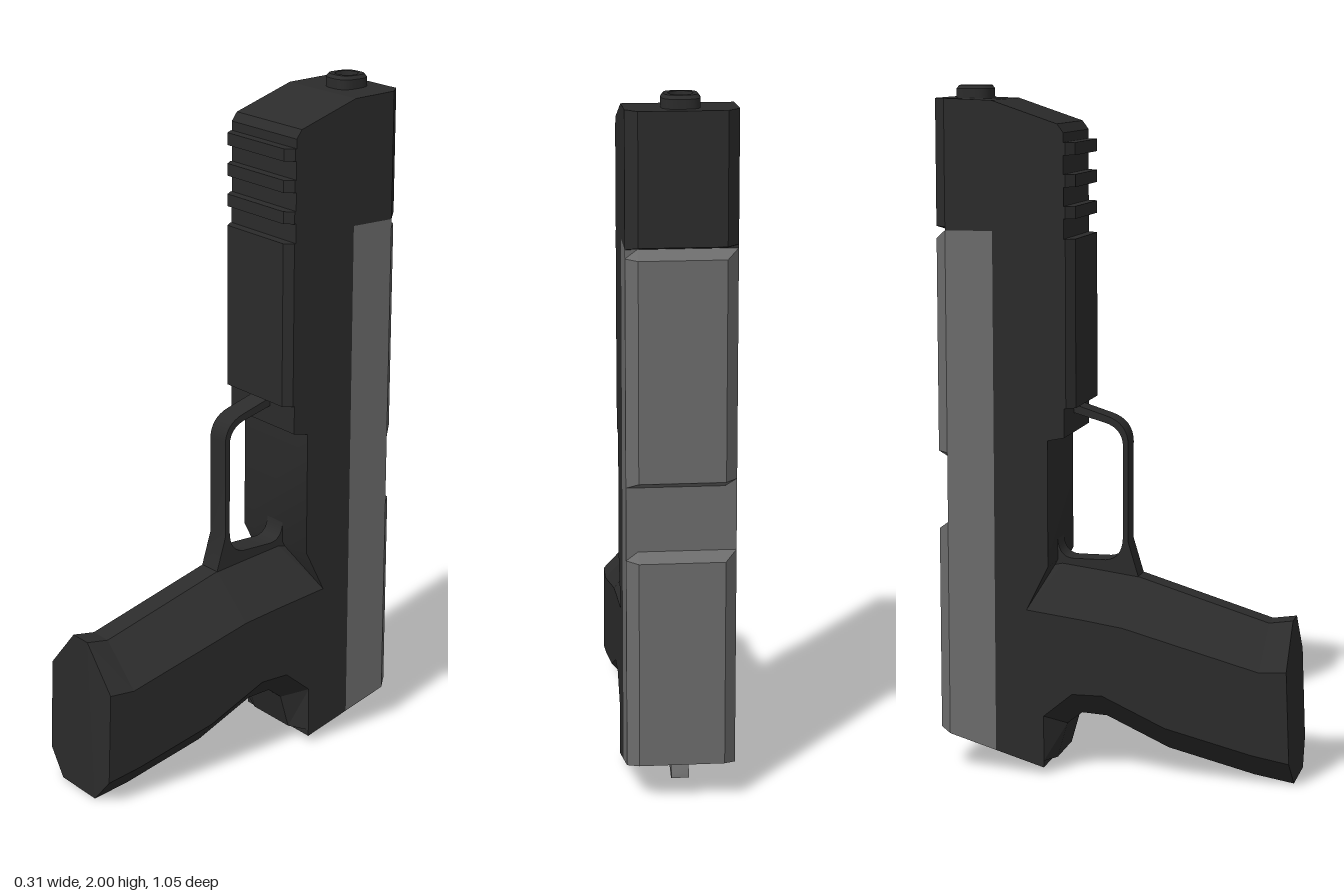
import * as THREE from 'three';
import { toCreasedNormals } from 'three/addons/utils/BufferGeometryUtils.js';

const W = 0.153; // half width of the body
const dark = new THREE.MeshStandardMaterial({ color: 0x2b2b2b });
const grey = new THREE.MeshStandardMaterial({ color: 0x6c6c6c });

// Joins rings of [x, y, z] points into a closed, faceted solid
function loft(rings) {
  const n = rings[0].length, tris = [];
  const tri = (a, b, c) => tris.push([a, b, c]);
  for (let i = 0; i < rings.length - 1; i++) {
    for (let j = 0; j < n; j++) {
      const k = (j + 1) % n, a = rings[i], b = rings[i + 1];
      tri(a[j], a[k], b[k]);
      tri(a[j], b[k], b[j]);
    }
  }
  const first = rings[0], last = rings[rings.length - 1];
  for (let j = 1; j < n - 1; j++) {
    tri(first[0], first[j + 1], first[j]);
    tri(last[0], last[j], last[j + 1]);
  }
  // A negative volume means the faces point inward
  const v = (p) => new THREE.Vector3(...p);
  const volume = tris.reduce((s, [a, b, c]) => s + v(a).dot(v(b).cross(v(c))), 0);
  const pos = tris.flatMap(([a, b, c]) => (volume < 0 ? [a, c, b] : [a, b, c])).flat();
  const geo = new THREE.BufferGeometry();
  geo.setAttribute('position', new THREE.Float32BufferAttribute(pos, 3));
  geo.computeVertexNormals();
  return geo;
}

// Extrudes a side profile drawn in (z, y) across x
function slab(shape, half) {
  const geo = new THREE.ExtrudeGeometry(shape, { depth: half * 2, bevelEnabled: false, curveSegments: 8 });
  geo.translate(0, 0, -half);
  geo.rotateY(-Math.PI / 2);
  return toCreasedNormals(geo, 0.6);
}

const profile = (pts) => new THREE.Shape(pts.map(([z, y]) => new THREE.Vector2(z, y)));

// Horizontal ring of the slide; the corners are chamfered toward the back
function slideRing(height, back) {
  const plan = [[W, -0.35], [W, -0.49], [0.12, back], [-0.12, back], [-W, -0.49], [-W, -0.35]];
  return plan.map(([x, z]) => [x, typeof height === 'function' ? height(z) : height, z]);
}

// Block with chamfered front edges, used for the rail and its teeth
function railBlock(y0, y1) {
  const plan = [[W, -0.16], [W, -0.135], [0.133, -0.11], [-0.133, -0.11], [-W, -0.135], [-W, -0.16]];
  return loft([y0, y1].map((y) => plan.map(([x, z]) => [x, y, z])));
}

export function createModel() {
  const model = new THREE.Group();
  const add = (name, geo, mat = dark) => {
    const mesh = new THREE.Mesh(geo, mat);
    mesh.name = name;
    model.add(mesh);
    return mesh;
  };

  // Frame
  add('frame', slab(profile([
    [-0.35, 0.064], [-0.35, 1.96], [-0.158, 1.895], [-0.14, 1.87], [-0.14, 1.0], [-0.19, 0.99],
    [-0.19, 0.62], [-0.255, 0.49], [-0.205, 0.175], [-0.205, 0.02],
  ]), W));

  // Slide with a shallow gap in its back
  const B = -0.525, G = -0.49;
  const slope = (z) => 0.02 + (-0.205 - z) * 0.303;
  add('slide', loft([
    slideRing(slope, B), slideRing(0.715, B), slideRing(0.74, G), slideRing(0.925, G),
    slideRing(0.945, B), slideRing(1.565, B), slideRing(1.59, G),
  ]), grey);
  const topY = (z) => (z < -0.36 ? 1.965 : 1.96);
  add('slideNose', loft([slideRing(1.59, G), slideRing(1.6, B), slideRing(topY, B)]));

  // Rail and teeth
  add('rail', railBlock(1.085, 1.57));
  [1.645, 1.735, 1.825].forEach((y, i) => add(`railTooth${i + 1}`, railBlock(y - 0.018, y + 0.018)));

  // Grip: stations of [z, y] for the top, upper side, lower side and bottom edges
  const stations = [
    [[0.51, 0.47], [0.51, 0.345], [0.52, 0.075], [0.525, 0]],
    [[0.44, 0.46], [0.43, 0.34], [0.41, 0.095], [0.41, 0.02]],
    [[0.05, 0.58], [0.03, 0.45], [0.155, 0.16], [0.155, 0.085]],
    [[-0.06, 0.595], [-0.09, 0.468], [-0.03, 0.245], [-0.03, 0.17]],
    [[-0.175, 0.61], [-0.255, 0.49], [-0.12, 0.245], [-0.105, 0.175]],
    [[-0.22, 0.6], [-0.255, 0.49], [-0.205, 0.175], [-0.15, 0.14]],
    [[-0.25, 0.6], [-0.255, 0.49], [-0.205, 0.04], [-0.18, 0.035]],
  ];
  const halfWidths = [0.036, W, W, 0.085];
  add('grip', loft(stations.map((s) => {
    const left = s.map(([z, y], i) => [halfWidths[i], y, z]);
    const right = left.map(([x, y, z]) => [-x, y, z]).reverse();
    return [...left, ...right];
  })));

  // Guard loop in front of the frame
  const guard = new THREE.Shape();
  guard.moveTo(-0.15, 1.085);
  guard.lineTo(-0.04, 1.05);
  guard.quadraticCurveTo(0.02, 1.03, 0.022, 0.97);
  guard.lineTo(0.022, 0.68);
  guard.lineTo(0.055, 0.57);
  guard.lineTo(-0.2, 0.57);
  guard.lineTo(-0.2, 0.69);
  guard.lineTo(-0.19, 0.68);
  guard.quadraticCurveTo(-0.185, 0.625, -0.14, 0.625);
  guard.lineTo(-0.045, 0.625);
  guard.quadraticCurveTo(0.003, 0.63, 0.006, 0.69);
  guard.lineTo(0.006, 0.97);
  guard.quadraticCurveTo(0.002, 1.015, -0.045, 1.03);
  guard.lineTo(-0.15, 1.06);
  add('guard', slab(guard, 0.037));

  // Barrel end: a lathed ring squared off into a rounded square
  const barrel = new THREE.LatheGeometry([
    [0.053, 1.94], [0.053, 1.99], [0.046, 2], [0.034, 2], [0.031, 1.975], [0, 1.975],
  ].map(([r, y]) => new THREE.Vector2(r, y)), 32);
  const p = barrel.attributes.position;
  for (let i = 0; i < p.count; i++) {
    const x = p.getX(i), z = p.getZ(i), r = Math.hypot(x, z);
    if (r < 0.04) continue;
    const k = r / Math.cbrt(Math.abs(x) ** 3 + Math.abs(z) ** 3);
    p.setXYZ(i, x * k, p.getY(i), z * k);
  }
  add('barrel', toCreasedNormals(barrel, 0.5)).position.z = -0.438;

  // Small lever under the slide
  add('lever', slab(profile([
    [-0.385, 0.085], [-0.4, 0.065], [-0.45, 0.045], [-0.468, 0.052], [-0.465, 0.064], [-0.44, 0.1],
  ]), 0.025), grey);

  return model;
}
